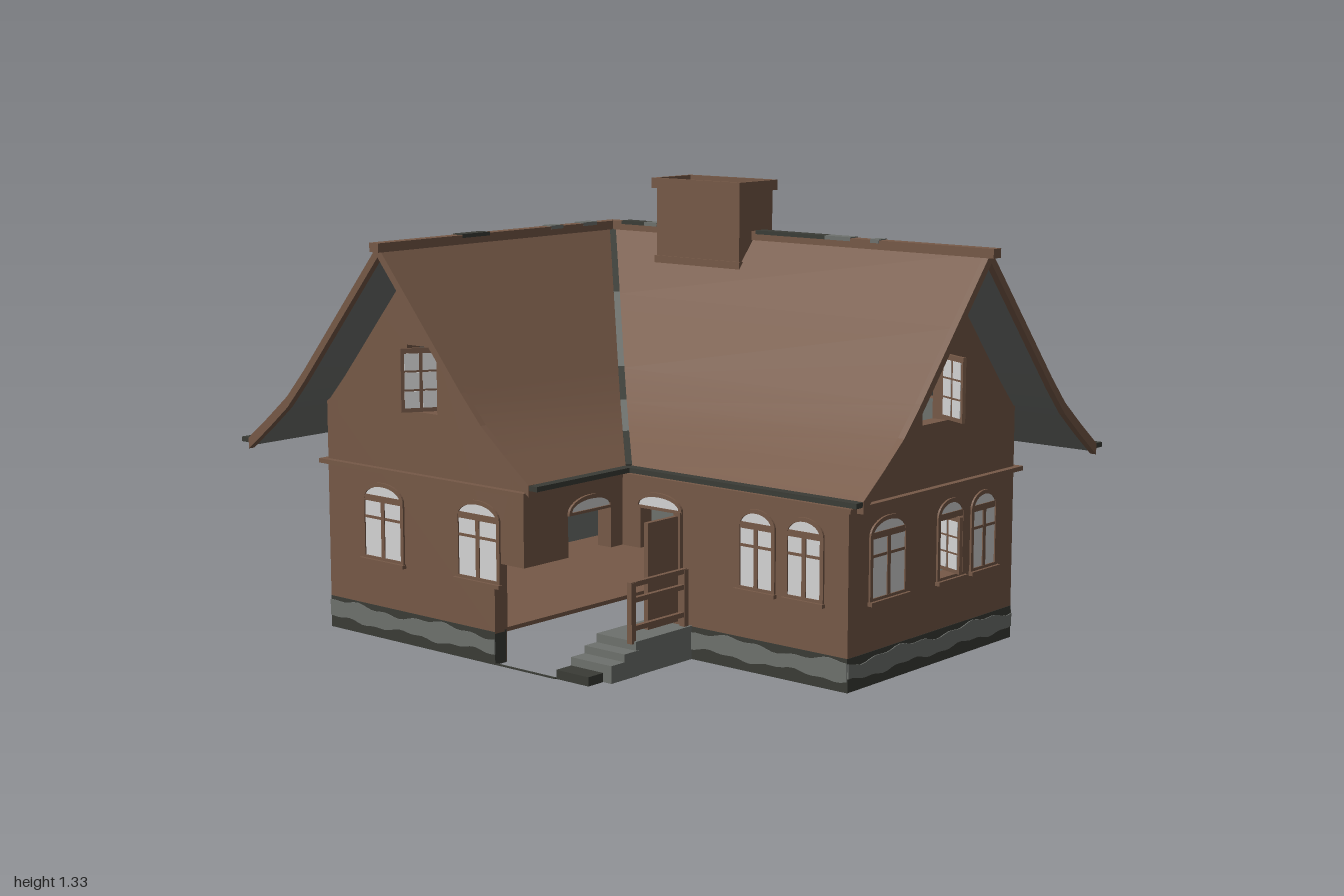
import * as THREE from 'three';

const mat = (name, color) => {
  const m = new THREE.MeshStandardMaterial({ color });
  m.name = name;
  return m;
};

export function createModel() {
  const brown = mat('brown', 0x765947), grey = mat('stone grey', 0x6e716d);
  const dark = mat('dark slate', 0x3a3c36), glass = mat('pale glass', 0xd4d4d4);
  const house = new THREE.Group();
  house.name = 'house';

  const add = (parent, name, geo, m, x = 0, y = 0, z = 0) => {
    const mesh = new THREE.Mesh(geo, m);
    mesh.name = name;
    mesh.position.set(x, y, z);
    parent.add(mesh);
    return mesh;
  };
  // Box given by its limits on each axis
  const box = (parent, name, m, x0, x1, y0, y1, z0, z1) =>
    add(parent, name, new THREE.BoxGeometry(x1 - x0, y1 - y0, z1 - z0), m, (x0 + x1) / 2, (y0 + y1) / 2, (z0 + z1) / 2);
  const poly = pts => new THREE.Shape(pts.map(p => new THREE.Vector2(p[0], p[1])));
  const rect = (x0, x1, y0, y1) => poly([[x0, y0], [x1, y0], [x1, y1], [x0, y1]]);
  const extrude = (shape, depth) => new THREE.ExtrudeGeometry(shape, { depth, bevelEnabled: false, curveSegments: 8 });
  // Rectangle with a low arched top
  const arch = (w, y0, spring, top) => {
    const s = new THREE.Shape();
    s.moveTo(-w / 2, y0);
    s.lineTo(w / 2, y0);
    s.lineTo(w / 2, spring);
    s.absellipse(0, spring, w / 2, top - spring, 0, Math.PI, false);
    s.closePath();
    return s;
  };

  // Roof section: distance from ridge, height
  const profile = [[0, 1.175], [0.16, 0.985], [0.32, 0.795], [0.395, 0.713], [0.48, 0.643], [0.572, 0.572]];
  const RX = -0.395, RZ = -0.19, ENDX = 0.98, ENDZ = 0.78, CUT = 0.115, CUT_Y = 0.295;

  // Walls: local x runs along the wall, local +z points outward
  const side = (name, x, z, rot) => {
    const g = new THREE.Group();
    g.name = name;
    g.position.set(x, 0, z);
    g.rotation.y = rot;
    house.add(g);
    return g;
  };
  const wallPanel = (g, pts, holes = []) => {
    const s = poly(pts);
    s.holes.push(...holes.map(h => rect(...h)));
    add(g, 'wall', extrude(s, 0.045), brown, 0, 0, -0.045);
    add(g, 'wallLining', extrude(s, 0.005), [grey, brown], 0, 0, -0.05);
  };
  const course = (g, u0, u1) => box(g, 'stringCourse', brown, u0 - 0.02, u1 + 0.02, 0.498, 0.511, -0.01, 0.02);
  // Dark plinth with a weathered stone band
  const plinth = (g, u0, u1) => {
    box(g, 'plinth', dark, u0, u1, 0, 0.095, -0.045, 0.001);
    box(g, 'plinthLining', brown, u0 + 0.003, u1 - 0.003, 0.001, 0.09, -0.05, -0.044);
    const lo = [], hi = [], n = Math.ceil((u1 - u0) / 0.02);
    for (let i = 0; i <= n; i++) {
      const u = u0 + (u1 - u0) * i / n;
      lo.push([u, 0.032 + 0.005 * Math.sin(u * 23) + 0.003 * Math.sin(u * 61 + 1)]);
      hi.unshift([u, 0.08 + 0.007 * Math.sin(u * 17 + 1) + 0.004 * Math.sin(u * 53)]);
    }
    add(g, 'stoneBand', extrude(poly([...lo, ...hi]), 0.004), grey);
  };
  const archFrame = (g, u, w) => {
    const win = new THREE.Group();
    win.name = 'window';
    win.position.x = u;
    g.add(win);
    const frame = arch(w, 0.23, 0.415, 0.465);
    frame.holes.push(arch(w - 0.024, 0.243, 0.415, 0.453));
    add(win, 'windowFrame', extrude(frame, 0.006), brown);
    add(win, 'archGlass', extrude(arch(w - 0.02, 0.41, 0.42, 0.455), 0.002), glass);
    box(win, 'transom', brown, -w / 2 + 0.003, w / 2 - 0.003, 0.407, 0.425, 0, 0.005);
    box(win, 'windowSill', brown, -w / 2 - 0.004, w / 2 + 0.004, 0.224, 0.235, 0, 0.015);
    return win;
  };
  const archWindow = (g, u, w) => {
    const win = archFrame(g, u, w);
    box(win, 'windowGlass', glass, -w / 2 + 0.01, w / 2 - 0.01, 0.24, 0.412, 0, 0.002);
    box(win, 'mullion', brown, -0.007, 0.007, 0.24, 0.41, 0, 0.005);
    box(win, 'glazingBar', brown, -w / 2 + 0.005, w / 2 - 0.005, 0.355, 0.363, 0, 0.004);
  };
  // Swung casement with panes on both faces
  const casement = (g, u, z, y0, y1, w, angle) => {
    const c = new THREE.Group();
    c.name = 'openCasement';
    c.position.set(u, 0, z);
    c.rotation.y = angle;
    g.add(c);
    box(c, 'casementFrame', brown, -w / 2, w / 2, y0, y1, -0.005, 0.005);
    const pw = w / 2 - 0.015, ph = (y1 - y0 - 0.03) / 3;
    for (const s of [-1, 1]) for (let i = 0; i < 3; i++) {
      const x = s * (pw / 2 + 0.005), y = y0 + 0.012 + i * (ph + 0.003);
      box(c, 'casementPane', glass, x - pw / 2, x + pw / 2, y, y + ph - 0.003, -0.007, 0.007);
    }
  };
  const lunette = (g, u, w) => {
    const rim = arch(w, 0.415, 0.42, 0.465);
    rim.holes.push(arch(w - 0.024, 0.423, 0.425, 0.453));
    add(g, 'lunetteFrame', extrude(rim, 0.008), brown, u);
    add(g, 'lunetteGlass', extrude(arch(w - 0.02, 0.42, 0.422, 0.456), 0.003), glass, u);
  };
  // Gable outline under the roof, centred on local c
  const gableTop = c => {
    const p = profile.slice(0, 4);
    return [...p.slice().reverse().map(([d, y]) => [c + d, y - 0.025]), ...p.slice(1).map(([d, y]) => [c - d, y - 0.025])];
  };

  const front = side('frontGable', 0, 0.62, 0);
  wallPanel(front, [[-0.8, 0.09], [-CUT, 0.09], [-CUT, CUT_Y], [0, CUT_Y], ...gableTop(RX)], [[-0.455, -0.335, 0.69, 0.88]]);
  course(front, -0.8, 0);
  plinth(front, -0.8, -CUT);
  archWindow(front, -0.565, 0.175);
  archWindow(front, -0.177, 0.175);
  casement(front, -0.39, 0.01, 0.695, 0.878, 0.115, 1.0);

  const porch = side('porchWall', 0, 0, Math.PI / 2);
  wallPanel(porch, [[-0.62, CUT_Y], [-0.44, CUT_Y], [-0.44, 0.42], [-0.26, 0.42], [-0.26, CUT_Y], [-0.21, CUT_Y], [-0.21, 0.69], [-0.62, 0.69]]);
  course(porch, -0.62, -0.21);
  lunette(porch, -0.35, 0.185);

  const entry = side('entranceWall', 0, 0.21, 0);
  wallPanel(entry, [[0, CUT_Y], [0.068, CUT_Y], [0.068, 0.415], [0.205, 0.415], [0.205, 0.09], [0.81, 0.09], [0.81, 0.69], [0, 0.69]]);
  course(entry, 0, 0.81);
  plinth(entry, CUT, 0.81);
  lunette(entry, 0.142, 0.175);
  archWindow(entry, 0.495, 0.135);
  archWindow(entry, 0.662, 0.135);
  box(entry, 'doorPost', brown, 0.203, 0.228, 0.095, 0.42, 0, 0.012);
  box(entry, 'doorLeaf', brown, 0.205, 0.22, 0.105, 0.41, 0, 0.14);

  const east = side('eastGable', 0.81, 0, Math.PI / 2);
  wallPanel(east, [[-0.21, 0.09], [0.59, 0.09], ...gableTop(-RZ)], [[0.125, 0.245, 0.69, 0.88], [0.215, 0.325, 0.243, 0.41]]);
  course(east, -0.21, 0.59);
  plinth(east, -0.21, 0.59);
  archWindow(east, -0.03, 0.175);
  archFrame(east, 0.27, 0.135);
  casement(east, 0.31, -0.03, 0.243, 0.408, 0.11, 1.25);
  archWindow(east, 0.437, 0.135);
  casement(east, 0.222, 0.035, 0.695, 0.878, 0.11, 1.15);

  const west = side('westWall', -0.8, 0, -Math.PI / 2);
  wallPanel(west, [[-0.59, 0.09], [0.62, 0.09], [0.62, 0.69], [-0.59, 0.69]]);
  course(west, -0.59, 0.62);
  plinth(west, -0.59, 0.62);
  archWindow(west, 0.01, 0.135);

  const back = side('backWall', 0, -0.59, Math.PI);
  wallPanel(back, [[-0.81, 0.09], [-CUT, 0.09], [-CUT, CUT_Y], [CUT, CUT_Y], [CUT, 0.09], [0.8, 0.09], [0.8, 0.69], [-0.81, 0.69]],
    [[0.126, 0.234, 0.243, 0.41]]);
  course(back, -0.81, 0.8);
  plinth(back, -0.81, -CUT);
  plinth(back, CUT, 0.8);
  archWindow(back, -0.48, 0.135);
  archWindow(back, -0.29, 0.135);
  archFrame(back, 0.18, 0.13);
  casement(back, 0.19, 0.037, 0.225, 0.425, 0.13, 0.6);

  // Raised floors in two halves with a passage between
  for (const [x0, x1, z1] of [[-0.76, -CUT, 0.58], [CUT, 0.77, 0.17]])
    box(house, 'floor', brown, x0, x1, 0.088, 0.1, -0.55, z1);
  box(house, 'threshold', dark, -CUT, CUT, 0, 0.004, 0.614, 0.62);

  // Porch landing, steps and railing
  box(house, 'landing', grey, CUT, 0.262, 0, 0.097, 0.21, 0.45);
  [[0.5, 0.072], [0.555, 0.05], [0.615, 0.026]].forEach(([z, y], i) =>
    box(house, 'step', i === 2 ? dark : grey, CUT, i === 2 ? 0.235 : 0.265, 0, y, 0.44, z));
  for (const z of [0.225, 0.45]) box(house, 'railPost', brown, 0.237, 0.255, 0.09, 0.262, z - 0.009, z + 0.009);
  for (const y of [0.125, 0.205, 0.25]) box(house, 'rail', brown, 0.239, 0.253, y, y + 0.014, 0.22, 0.46);

  // Roof slopes: rows across the section, inner and outer end for each row
  const slope = (name, at, drop, m, up) => {
    const pos = [], idx = [];
    profile.forEach(([d, y]) => at(d).forEach(([x, z]) => pos.push(x, y - drop, z)));
    const [a, b, c] = [0, 3, 6].map(o => new THREE.Vector3().fromArray(pos, o));
    const flip = (b.sub(a).cross(c.sub(a)).y > 0) !== up;
    for (let k = 0; k < profile.length * 2 - 2; k += 2)
      idx.push(...(flip ? [k, k + 2, k + 1, k + 1, k + 2, k + 3] : [k, k + 1, k + 2, k + 1, k + 3, k + 2]));
    const geo = new THREE.BufferGeometry();
    geo.setAttribute('position', new THREE.Float32BufferAttribute(pos, 3));
    geo.setIndex(idx);
    geo.computeVertexNormals();
    add(house, name, geo, m);
  };
  const slopes = {
    westRoof: d => [[RX - d, RZ - d], [RX - d, ENDZ]],
    wingRoof: d => [[RX + d, RZ + d], [RX + d, ENDZ]],
    backRoof: d => [[RX - d, RZ - d], [ENDX, RZ - d]],
    mainRoof: d => [[RX + d, RZ + d], [ENDX, RZ + d]],
  };
  for (const [name, at] of Object.entries(slopes)) {
    slope(name, at, 0, brown, true);
    slope(name + 'Soffit', at, 0.022, grey, false);
  }

  // Bargeboards on both gable ends
  const barge = poly([
    ...profile.slice().reverse().map(([d, y]) => [-d, y + 0.003]), ...profile.slice(1).map(([d, y]) => [d, y + 0.003]),
    ...profile.slice().reverse().map(([d, y]) => [d, y - 0.03]), ...profile.slice(1).map(([d, y]) => [-d, y - 0.03])]);
  add(house, 'frontBargeboard', extrude(barge, 0.02), brown, RX, 0, ENDZ - 0.018);
  add(house, 'eastBargeboard', extrude(barge, 0.02), brown, ENDX - 0.018, 0, RZ).rotation.y = Math.PI / 2;

  // Gutters along the eaves
  box(house, 'westGutter', dark, -1, -0.963, 0.56, 0.574, -0.755, ENDZ);
  box(house, 'backGutter', dark, -0.96, ENDX, 0.56, 0.574, -0.797, -0.758);
  box(house, 'mainGutter', dark, 0.18, ENDX, 0.56, 0.574, 0.376, 0.41);
  box(house, 'wingGutter', dark, 0.172, 0.205, 0.56, 0.574, 0.385, ENDZ);

  // Ridge caps with weathered patches on top
  box(house, 'mainRidgeCap', brown, -0.41, 1, 1.16, 1.186, RZ - 0.018, RZ + 0.018);
  box(house, 'wingRidgeCap', brown, RX - 0.018, RX + 0.018, 1.16, 1.186, -0.21, 0.795);
  for (const [x0, x1, m] of [[-0.34, -0.25, dark], [-0.25, -0.2, grey], [0.18, 0.43, dark], [0.43, 0.52, grey], [0.59, 0.62, grey]])
    box(house, 'mainRidgePatch', m, x0, x1, 1.178, 1.189, RZ - 0.019, RZ + 0.019);
  for (const [z0, z1, m] of [[-0.1, -0.04, grey], [0.05, 0.1, grey], [0.36, 0.47, dark]])
    box(house, 'wingRidgePatch', m, RX - 0.019, RX + 0.019, 1.178, 1.189, z0, z1);

  // Hip and valley strips follow the roof section
  for (const s of [-1, 1]) for (let i = 0; i < profile.length - 1; i++) {
    const [p, q] = [profile[i], profile[i + 1]].map(([d, y]) => new THREE.Vector3(RX + s * d, y, RZ + s * d));
    const strip = add(house, s < 0 ? 'hipStrip' : 'valleyStrip', new THREE.BoxGeometry(0.018, 0.014, p.distanceTo(q) + 0.004), s > 0 && i % 2 ? grey : dark);
    strip.position.copy(p).lerp(q, 0.5);
    strip.lookAt(q);
  }

  // Chimney
  box(house, 'chimneyStack', brown, -0.15, 0.165, 0.95, 1.305, -0.268, -0.115);
  box(house, 'chimneyCollar', brown, -0.155, 0.17, 1.075, 1.1, -0.274, -0.109);
  box(house, 'chimneyOpening', dark, -0.148, 0.163, 1.3, 1.31, -0.266, -0.117);
  const cap = rect(-0.16, 0.175, -0.28, -0.103);
  cap.holes.push(rect(-0.147, 0.162, -0.267, -0.116));
  add(house, 'chimneyCap', extrude(cap, 0.03), brown, 0, 1.33, 0).rotation.x = Math.PI / 2;

  return house;
}
